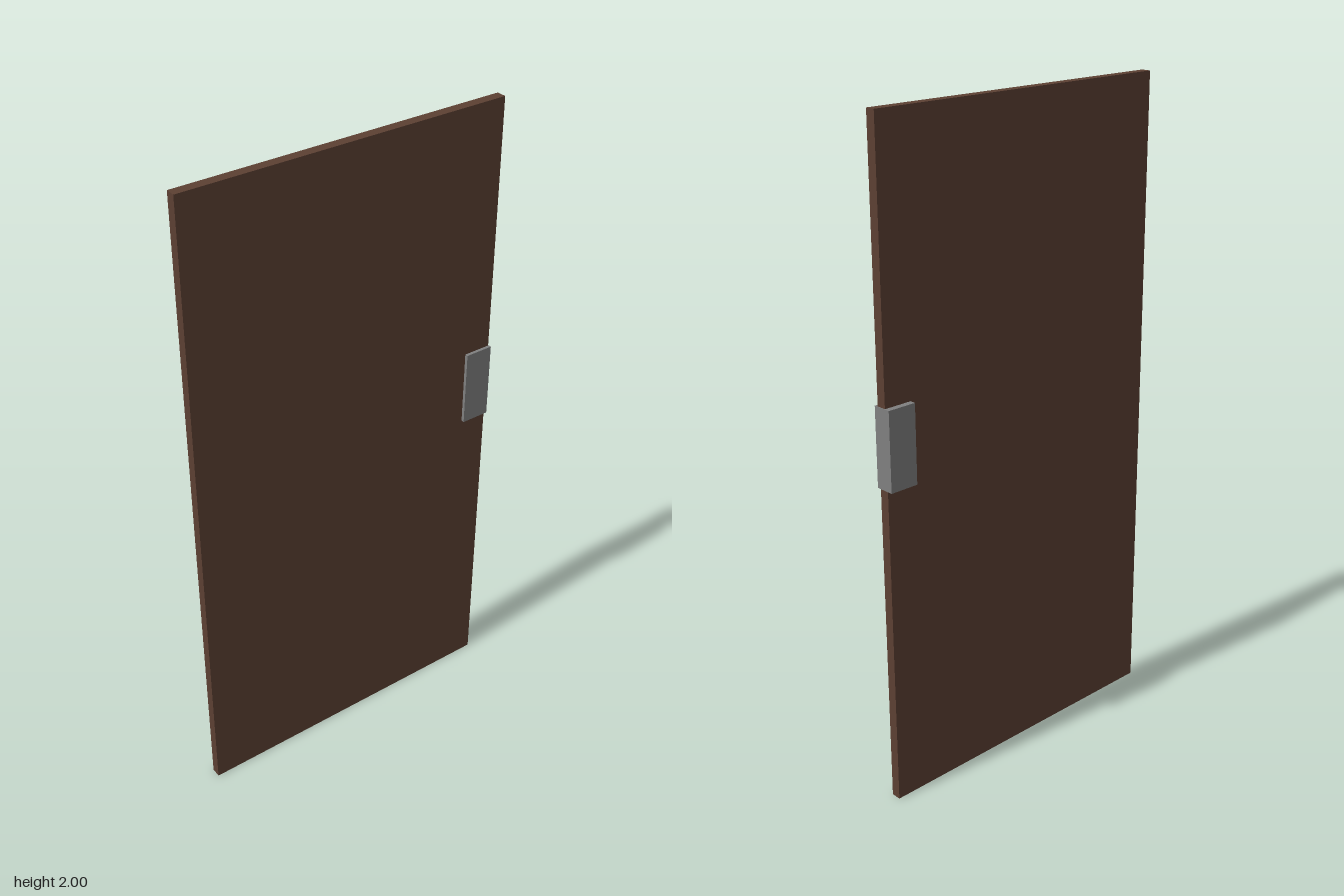
import * as THREE from 'three';

// Box given by its lower and upper corners
function block(name, color, min, max) {
  const size = max.map((v, i) => v - min[i]);
  const mesh = new THREE.Mesh(
    new THREE.BoxGeometry(...size),
    new THREE.MeshStandardMaterial({ color })
  );
  mesh.position.set(...max.map((v, i) => (v + min[i]) / 2));
  mesh.name = name;
  return mesh;
}

export function createModel() {
  const door = new THREE.Group();
  door.name = 'door';

  // Flat wooden leaf
  door.add(block('doorPanel', 0x5c4033, [-0.51, 0, -0.012], [0.508, 2, 0.018]));

  // Metal lock case wrapped around the opening edge
  door.add(block('lockCase', 0x808080, [0.42, 0.985, -0.03], [0.51, 1.222, 0.028]));

  return door;
}
